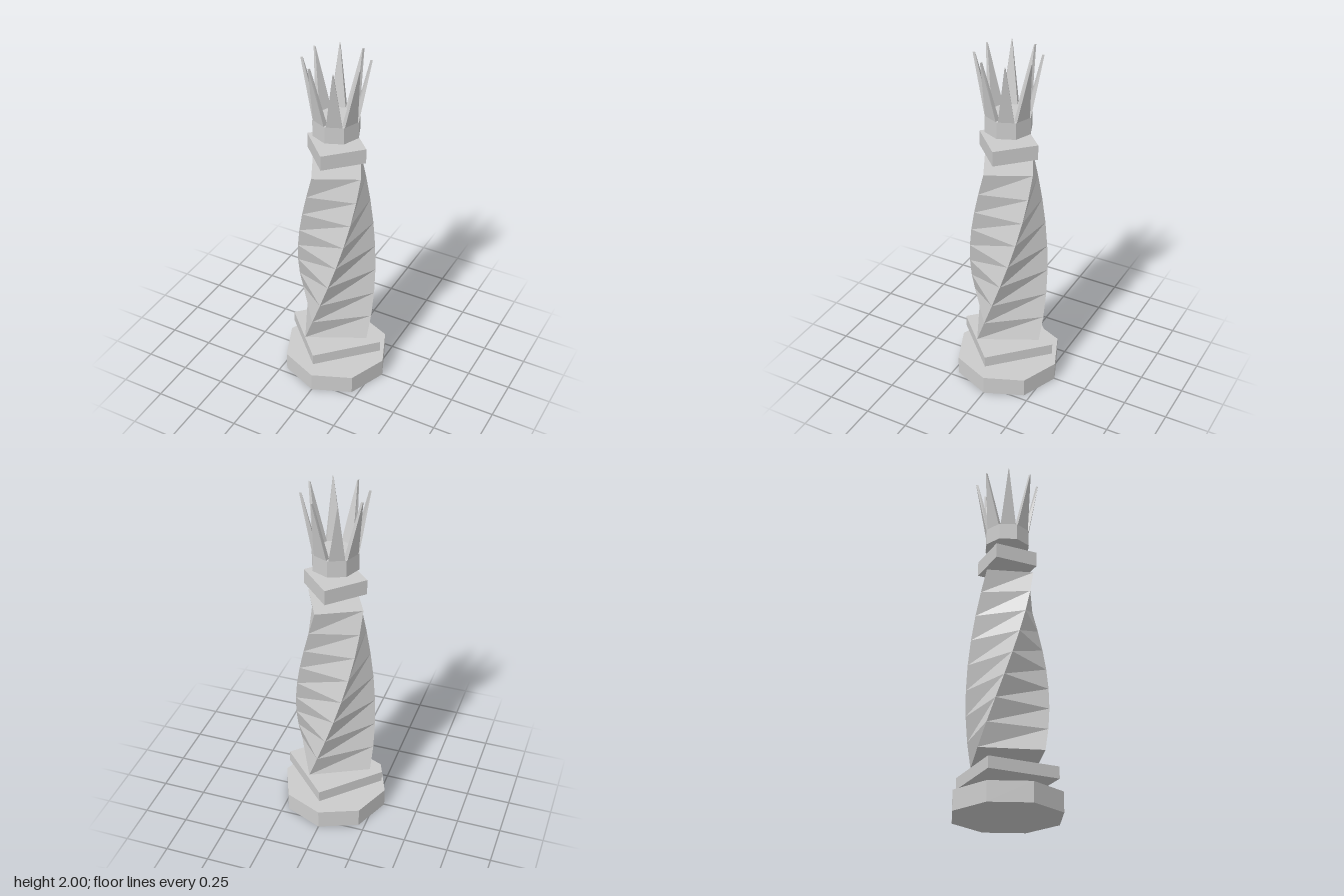
import * as THREE from 'three';

const material = new THREE.MeshStandardMaterial({ color: 0xcccccc, flatShading: true });

export function createModel() {
  const group = new THREE.Group();

  const add = (name, geometry, parent = group) => {
    geometry.computeVertexNormals();
    const mesh = new THREE.Mesh(geometry, material);
    mesh.name = name;
    parent.add(mesh);
    return mesh;
  };

  // Prism standing between two heights, with corners on the axes
  const prism = (name, radius, sides, y0, y1) => {
    const g = new THREE.CylinderGeometry(radius, radius, y1 - y0, sides).toNonIndexed();
    add(name, g.translate(0, (y0 + y1) / 2, 0));
  };

  prism('base', 0.305, 8, 0, 0.11);
  prism('lowerSlab', 0.285, 4, 0.18, 0.245);
  prism('upperSlab', 0.175, 4, 1.435, 1.52);
  prism('crownBand', 0.13, 8, 1.575, 1.67);

  // Tapered square column, twisted a quarter turn
  const y0 = 0.315, height = 1.05;
  const column = new THREE.CylinderGeometry(0.183, 0.247, height, 4, 8).toNonIndexed();
  column.translate(0, height / 2, 0);
  const v = new THREE.Vector3();
  const up = new THREE.Vector3(0, 1, 0);
  const pos = column.attributes.position;
  for (let i = 0; i < pos.count; i++) {
    v.fromBufferAttribute(pos, i);
    v.applyAxisAngle(up, THREE.MathUtils.degToRad(-18 + 90 * v.y / height));
    pos.setXYZ(i, v.x, v.y, v.z);
  }
  add('twistedColumn', column.translate(0, y0, 0));

  // Crown of eight thin spikes leaning outward, one per side of the band
  const spike = new THREE.BoxGeometry(1, 1, 1).toNonIndexed();
  const p = spike.attributes.position;
  const c = Math.cos(Math.PI / 8);
  for (let i = 0; i < p.count; i++) {
    const top = p.getY(i) > 0, outer = p.getZ(i) > 0;
    const halfWidth = top ? 0.002 : outer ? 0.043 : 0.038;
    const z = top ? (outer ? 0.181 : 0.169) : (outer ? 0.13 : 0.1) * c;
    p.setXYZ(i, Math.sign(p.getX(i)) * halfWidth, top ? 2 : 1.67, z);
  }
  const crown = new THREE.Group();
  crown.name = 'crownSpikes';
  group.add(crown);
  for (let i = 0; i < 8; i++) {
    add('crownSpike', spike, crown).rotation.y = (i + 0.5) * Math.PI / 4;
  }

  return group;
}
